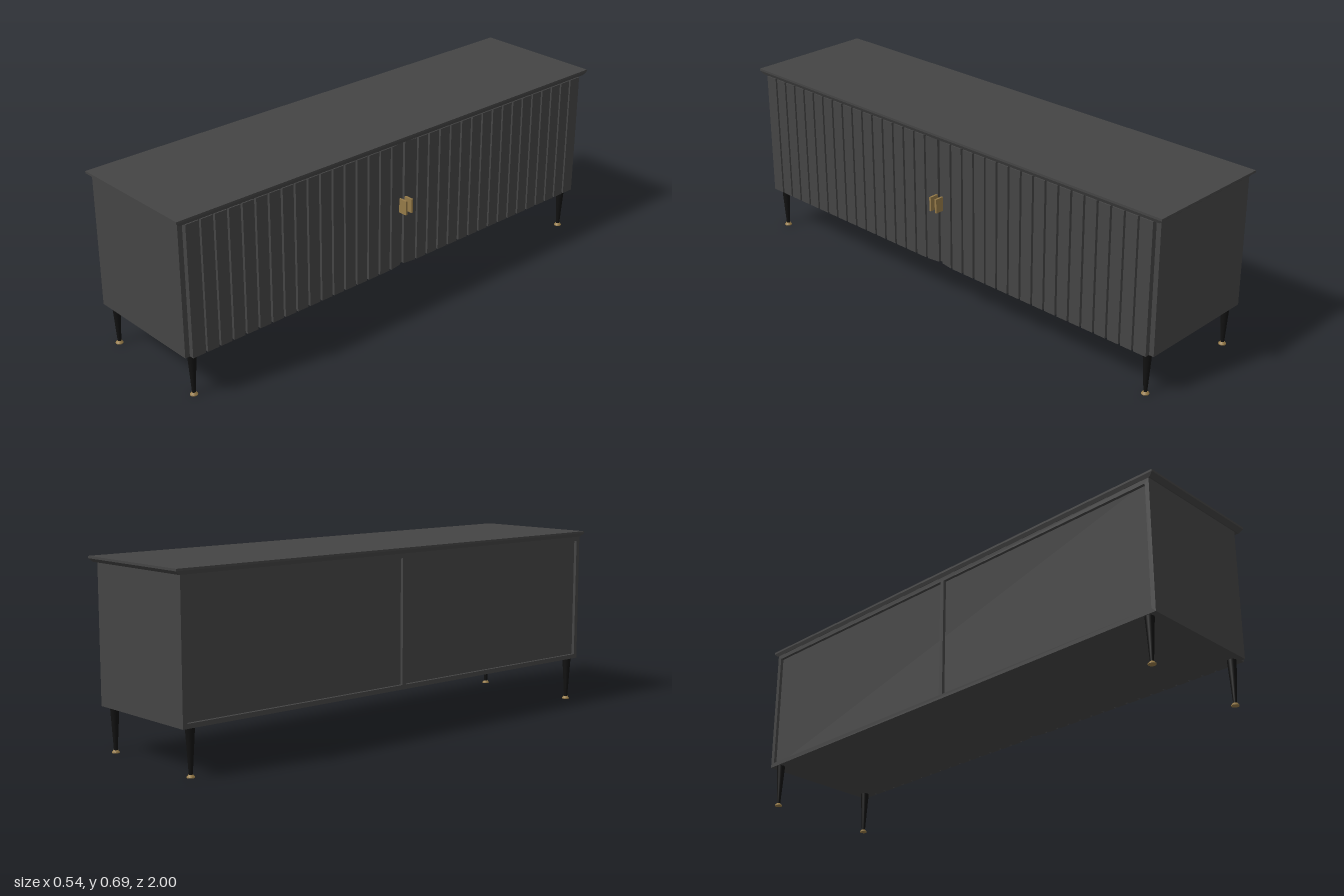
import * as THREE from 'three';

const wood = new THREE.MeshStandardMaterial({ color: 0x444444 });
const black = new THREE.MeshStandardMaterial({ color: 0x111111 });
const brass = new THREE.MeshStandardMaterial({ color: 0x957a48 });

function add(parent, name, geometry, material, x = 0, y = 0, z = 0) {
  const mesh = new THREE.Mesh(geometry, material);
  mesh.name = name;
  mesh.position.set(x, y, z);
  parent.add(mesh);
  return mesh;
}

// Box given by its minimum and maximum corners
function boxBetween(parent, name, material, min, max) {
  const size = max.map((v, i) => v - min[i]);
  const mid = max.map((v, i) => (v + min[i]) / 2);
  return add(parent, name, new THREE.BoxGeometry(...size), material, ...mid);
}

// Plan outline of a door: grooved slats, the one at the meeting edge bevelled.
// side = +1 or -1 is the half of the cabinet along z.
function doorGeometry(side) {
  const back = 0.223, floor = 0.231, face = 0.242;
  const start = 0.009, end = 0.962, count = 17, groove = 0.009;
  const pitch = (end - start) / count;
  const points = [[back, start]];
  for (let i = 0; i < count; i++) {
    const a = start + i * pitch + (i > 0 ? groove / 2 : 0);
    const b = start + (i + 1) * pitch - (i < count - 1 ? groove / 2 : 0);
    if (i > 0) points.push([floor, a]);
    points.push([i === 0 ? 0.234 : face, a], [face, b]);
    if (i < count - 1) points.push([floor, b]);
  }
  points.push([back, end]);
  // Shape y becomes -z once the extrusion is turned upright
  const shape = new THREE.Shape(points.map(([x, z]) => new THREE.Vector2(x, -side * z)));
  const geometry = new THREE.ExtrudeGeometry(shape, { depth: 0.494, bevelEnabled: false });
  return geometry.rotateX(-Math.PI / 2).translate(0, 0.17, 0);
}

// Back frame with two rectangular openings, facing -x
function backFrameGeometry() {
  const rect = (Type, z0, y0, z1, y1) =>
    new Type([[z0, y0], [z1, y0], [z1, y1], [z0, y1]].map(p => new THREE.Vector2(...p)));
  const shape = rect(THREE.Shape, -0.98, 0.168, 0.98, 0.667);
  shape.holes.push(rect(THREE.Path, -0.963, 0.185, -0.009, 0.65));
  shape.holes.push(rect(THREE.Path, 0.009, 0.185, 0.963, 0.65));
  const geometry = new THREE.ExtrudeGeometry(shape, { depth: 0.012, bevelEnabled: false });
  return geometry.rotateY(-Math.PI / 2).translate(-0.253, 0, 0);
}

// Lower part of the top board, narrowing downwards
function underBevelGeometry() {
  const geometry = new THREE.BoxGeometry(0.52, 0.013, 2).toNonIndexed();
  const p = geometry.attributes.position;
  for (let i = 0; i < p.count; i++) {
    if (p.getY(i) > 0) continue;
    p.setX(i, p.getX(i) - Math.sign(p.getX(i)) * 0.006);
    p.setZ(i, p.getZ(i) - Math.sign(p.getZ(i)) * 0.015);
  }
  geometry.computeVertexNormals();
  return geometry;
}

export function createModel() {
  const model = new THREE.Group();
  model.name = 'sideboard';

  // Cabinet
  boxBetween(model, 'carcass', wood, [-0.253, 0.168, -0.98], [0.222, 0.667, 0.98]);
  add(model, 'backFrame', backFrameGeometry(), wood);

  // Top board
  const top = new THREE.Group();
  top.name = 'topBoard';
  model.add(top);
  boxBetween(top, 'topSlab', wood, [-0.272, 0.68, -1], [0.248, 0.688, 1]);
  add(top, 'topUnderBevel', underBevelGeometry(), wood, -0.012, 0.6735, 0);

  // Doors with their pulls
  for (const side of [1, -1]) {
    const name = side > 0 ? 'left' : 'right';
    add(model, name + 'Door', doorGeometry(side), wood);
    boxBetween(model, name + 'Handle', brass,
      [0.232, 0.39, side * 0.014 - 0.004], [0.27, 0.445, side * 0.014 + 0.004]);
  }

  // Tapered legs with brass feet
  for (const x of [-0.246, 0.202]) {
    for (const z of [-0.94, 0.94]) {
      const leg = new THREE.Group();
      leg.name = 'leg';
      leg.position.set(x, 0, z);
      model.add(leg);
      add(leg, 'legShaft', new THREE.CylinderGeometry(0.0165, 0.0065, 0.16, 20), black, 0, 0.088, 0);
      add(leg, 'legFoot', new THREE.CylinderGeometry(0.008, 0.014, 0.007, 20), brass, 0, 0.0065, 0);
      add(leg, 'legFootBase', new THREE.CylinderGeometry(0.014, 0.014, 0.003, 20), brass, 0, 0.0015, 0);
    }
  }
  return model;
}
